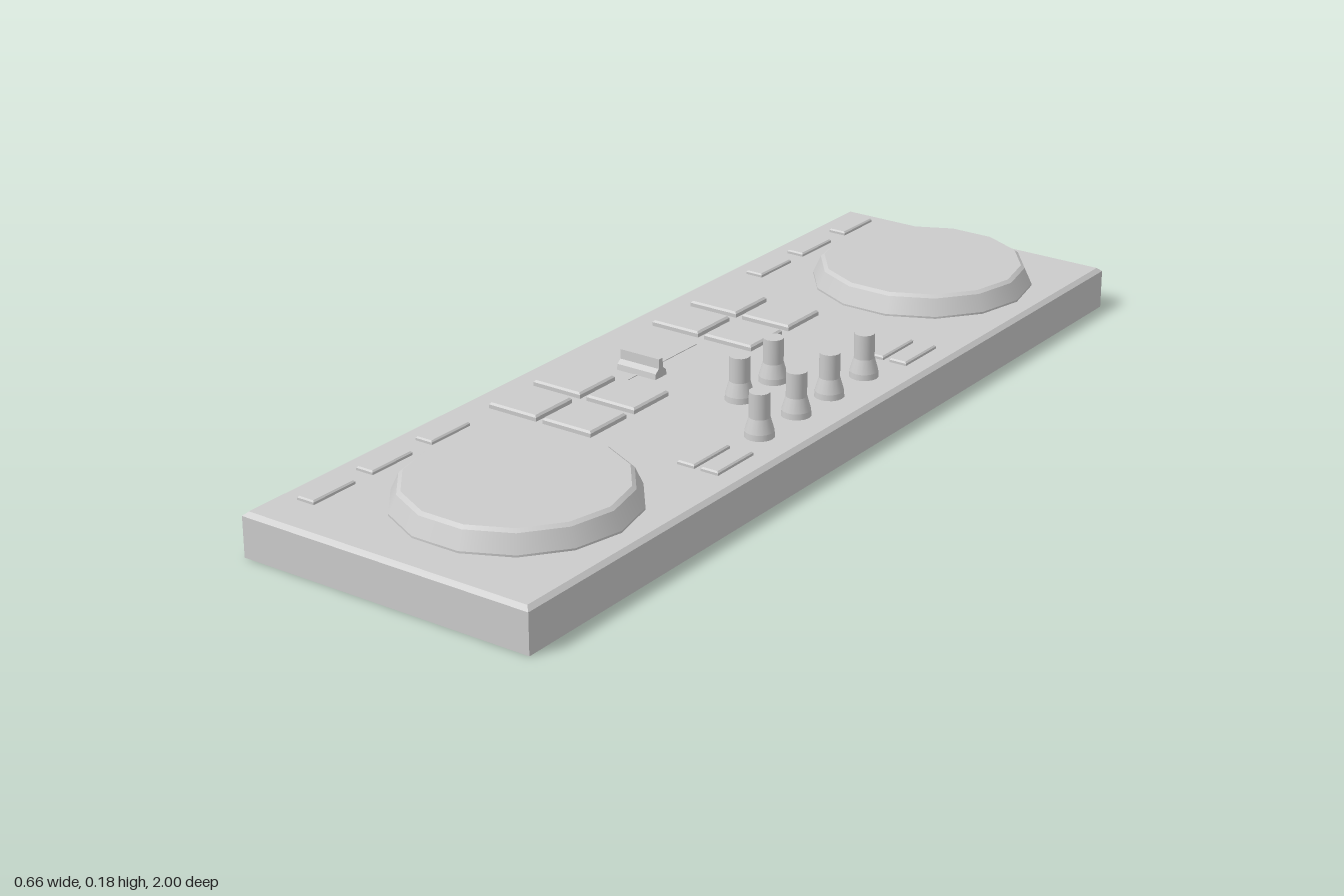
import * as THREE from 'three';

const TOP = 0.091; // height of the deck surface
const material = new THREE.MeshStandardMaterial({ color: 0xcccccc, side: THREE.DoubleSide });

// Box standing on y = 0 whose top edges are chamfered by b (height c)
function chamferBox(w, h, d, b, c = b) {
  const box = new THREE.BoxGeometry(w, h, d, 1, 2, 1);
  const p = box.attributes.position;
  for (let i = 0; i < p.count; i++) {
    const y = p.getY(i);
    if (y > 0.0001) {
      p.setXYZ(i, p.getX(i) - Math.sign(p.getX(i)) * b, h, p.getZ(i) - Math.sign(p.getZ(i)) * b);
    } else {
      p.setY(i, y < -0.0001 ? 0 : h - c);
    }
  }
  const flat = box.toNonIndexed();
  flat.computeVertexNormals();
  return flat;
}

// Round part, smooth around and sharp between its [radius, height] rings
function turned(rings, sides) {
  const group = new THREE.Group();
  for (let i = 0; i < rings.length - 1; i++) {
    const [r0, y0] = rings[i], [r1, y1] = rings[i + 1];
    const band = new THREE.CylinderGeometry(r1, r0, y1 - y0, sides, 1, true);
    band.rotateY(Math.PI / 2).translate(0, (y0 + y1) / 2, 0);
    group.add(new THREE.Mesh(band, material));
  }
  const [r, y] = rings[rings.length - 1];
  const cap = new THREE.CircleGeometry(r, sides).rotateX(-Math.PI / 2).translate(0, y, 0);
  group.add(new THREE.Mesh(cap, material));
  return group;
}

export function createModel() {
  const model = new THREE.Group();
  model.name = 'djController';

  function add(name, part, x, y, z) {
    const object = part.isObject3D ? part : new THREE.Mesh(part, material);
    object.name = name;
    object.position.set(x, y, z);
    model.add(object);
  }

  // Chassis
  add('body', chamferBox(0.656, TOP, 2, 0.009, 0.008), 0, 0, 0);

  // Jog wheels
  for (const z of [-0.713, 0.676]) {
    add('jogWheel', turned([[0.236, 0], [0.236, 0.004], [0.22, 0.039], [0.212, 0.045]], 14), 0.044, TOP, z);
  }

  // Performance pads, four per deck
  for (const z of [-0.349, -0.213, 0.182, 0.32]) {
    for (const x of [-0.209, -0.077]) {
      add('pad', chamferBox(0.116, 0.012, 0.113, 0.004), x, TOP, z);
    }
  }

  // Transport buttons beside the wheels
  for (const z of [-0.904, -0.735, -0.576, 0.52, 0.688, 0.848]) {
    add('sideButton', chamferBox(0.04, 0.008, 0.113, 0.003), -0.262, TOP, z);
  }

  // Paired buttons beside the knobs
  for (const z of [-0.33, 0.322]) {
    for (const x of [0.205, 0.259]) {
      add('pairedButton', chamferBox(0.039, 0.008, 0.115, 0.003), x, TOP, z);
    }
  }

  // Mixer knobs with flared skirts
  const knobs = [[0.236, -0.183], [0.236, -0.058], [0.236, 0.058], [0.236, 0.183], [0.103, -0.058], [0.103, 0.058]];
  for (const [x, z] of knobs) {
    add('knob', turned([[0.03, 0], [0.029, 0.012], [0.021, 0.04], [0.021, 0.092]], 16), x, TOP, z);
  }

  // Crossfader: thin slot along z and a ridged cap
  add('faderSlot', new THREE.BoxGeometry(0.008, 0.003, 0.25), -0.135, TOP, 0);
  const profile = new THREE.Shape([
    [-0.019, 0], [0.019, 0], [0.017, 0.012], [0.007, 0.02], [0.006, 0.04], [-0.006, 0.04], [-0.007, 0.02], [-0.017, 0.012],
  ].map(([z, y]) => new THREE.Vector2(z, y)));
  const cap = new THREE.ExtrudeGeometry(profile, { depth: 0.095, bevelEnabled: false });
  cap.translate(0, 0, -0.0475).rotateY(Math.PI / 2);
  add('faderCap', cap, -0.135, TOP, 0.058);

  return model;
}
